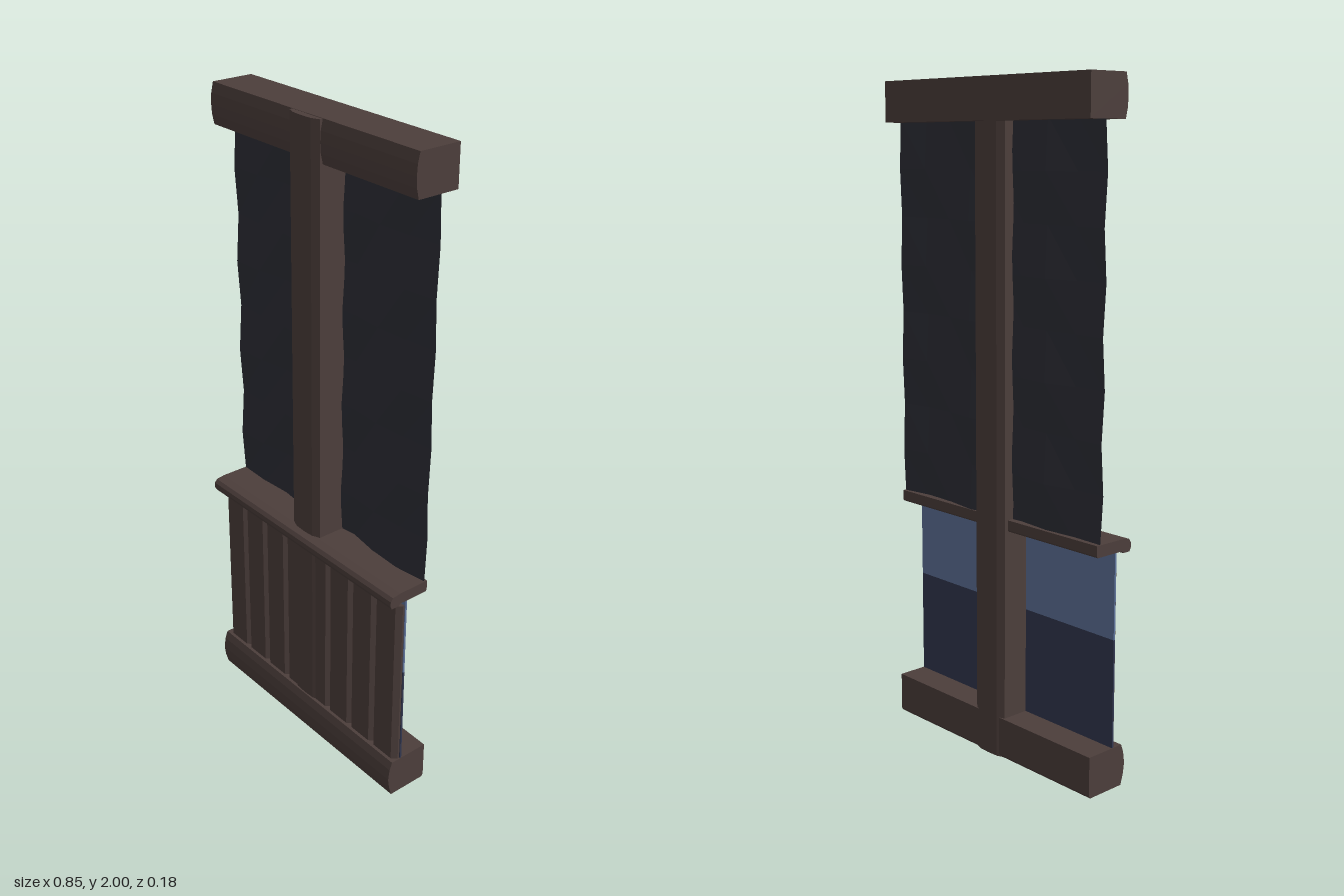
import * as THREE from 'three';

const WIDTH = 0.85;

export function createModel() {
  const model = new THREE.Group();
  model.name = 'wallPanel';

  const material = (name, color, extra = {}) => {
    const m = new THREE.MeshStandardMaterial({ color, flatShading: true, ...extra });
    m.name = name;
    return m;
  };
  const wood = material('darkWood', 0x4c3e3b);
  const slate = material('darkSlate', 0x2e2f37, { side: THREE.DoubleSide });
  const paleBlue = material('paleBlue', 0x5f739b);
  const deepBlue = material('deepBlue', 0x32374f);

  const add = (name, geometry, mat) => {
    const mesh = new THREE.Mesh(geometry, mat);
    mesh.name = name;
    model.add(mesh);
    return mesh;
  };
  const extrude = (points, depth) => new THREE.ExtrudeGeometry(
    new THREE.Shape(points.map(([x, y]) => new THREE.Vector2(x, y))),
    { depth, bevelEnabled: false });

  // Horizontal timber: (z, y) section swept across the width
  const beam = (name, section) => add(name,
    extrude(section, WIDTH).translate(0, 0, -WIDTH / 2).rotateY(-Math.PI / 2), wood);
  // Vertical timber: (x, z) section swept upwards
  const upright = (name, section, y0, y1) => add(name,
    extrude(section.map(([x, z]) => [x, -z]), y1 - y0).rotateX(-Math.PI / 2).translate(0, y0, 0), wood);

  // Base, sill rail and head beam with rounded fronts
  beam('baseBeam', [[-0.06, 0], [0.066, 0], [0.075, 0.03], [0.08, 0.065],
    [0.075, 0.1], [0.066, 0.125], [-0.065, 0.125], [-0.065, 0.008]]);
  beam('sillRail', [[-0.042, 0.705], [0.055, 0.705], [0.06, 0.699], [0.086, 0.699], [0.092, 0.711],
    [0.091, 0.725], [0.083, 0.736], [0.055, 0.74], [-0.046, 0.74], [-0.046, 0.71]]);
  beam('headBeam', [[-0.092, 1.88], [0.04, 1.88], [0.047, 1.91], [0.049, 1.94],
    [0.047, 1.97], [0.04, 2], [-0.092, 2]]);

  // Central post, bowed at front and back
  upright('post', [[-0.065, -0.058], [-0.04, -0.068], [0, -0.07], [0.035, -0.068], [0.06, -0.058],
    [0.06, 0.05], [0.035, 0.06], [0, 0.062], [-0.04, 0.06], [-0.065, 0.05]], 0, 1.999);

  // Chamfered planks on the lower front
  for (let i = 0; i < 8; i++) {
    const x = -0.414 + i * 0.1045, w = 0.1035;
    upright('plank', [[x, 0.034], [x + w, 0.034], [x + w, 0.04], [x + w - 0.014, 0.056],
      [x + 0.01, 0.056], [x, 0.042]], 0.115, 0.687);
  }

  // Two-tone painted board behind the planks
  const board = (name, y0, y1, mat) => {
    const mesh = add(name, new THREE.BoxGeometry(WIDTH - 0.002, y1 - y0, 0.006), mat);
    mesh.position.set(0, (y0 + y1) / 2, 0.031);
  };
  board('upperBackBoard', 0.45, 0.71, paleBlue);
  board('lowerBackBoard', 0.11, 0.45, deepBlue);

  // Uneven slate sheet filling the upper opening
  const sheet = new THREE.PlaneGeometry(WIDTH - 0.004, 1.16, 8, 8);
  const p = sheet.attributes.position;
  for (let i = 0; i < p.count; i++) {
    const col = i % 9, row = Math.floor(i / 9);
    p.setZ(i, 0.008 * Math.sin(col * 2.1 + 0.5) + (row % 2 ? 0.005 : -0.005) * Math.cos(col * 1.3));
  }
  sheet.computeVertexNormals();
  add('slateSheet', sheet, slate).position.set(0, 1.31, -0.031);

  return model;
}
